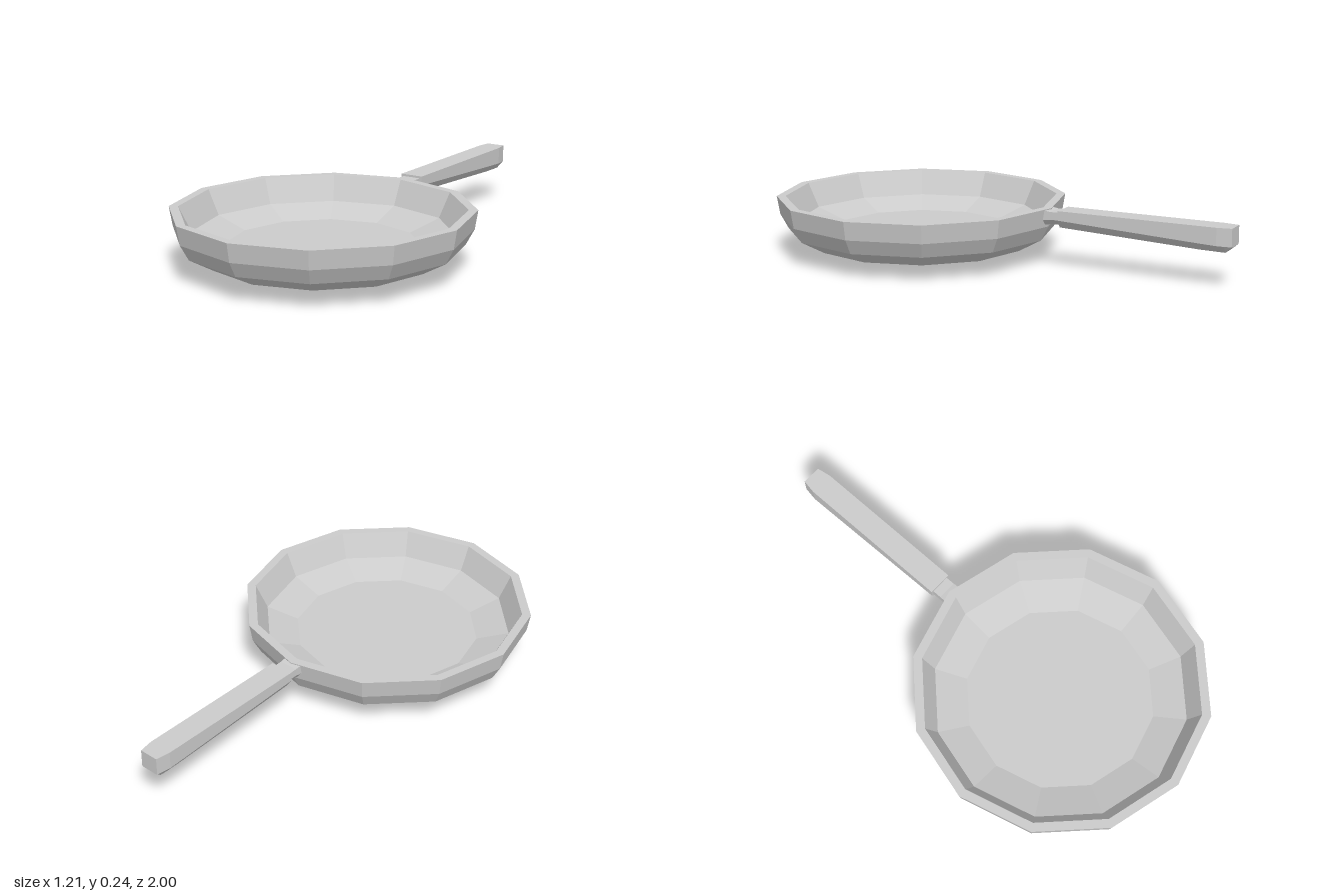
import * as THREE from 'three';

const material = new THREE.MeshStandardMaterial({ color: 0xcccccc, flatShading: true });

// Closed solid through six-sided sections running towards -z.
// Each section: [z, half width, top y, side edge y, bottom y, bottom half width]
function loft(sections) {
  const positions = [];
  const index = [];
  for (const [z, w, top, side, bottom, bw] of sections) {
    positions.push(-bw, bottom, z, bw, bottom, z, w, side, z, w, top, z, -w, top, z, -w, side, z);
  }
  const n = 6;
  const last = (sections.length - 1) * n;
  for (let s = 0; s < last; s += n) {
    for (let i = 0; i < n; i++) {
      const j = (i + 1) % n;
      index.push(s + i, s + n + i, s + n + j, s + i, s + n + j, s + j);
    }
  }
  for (let i = 1; i < n - 1; i++) {
    index.push(0, i, i + 1, last, last + i + 1, last + i);
  }
  const geometry = new THREE.BufferGeometry();
  geometry.setAttribute('position', new THREE.Float32BufferAttribute(positions, 3));
  geometry.setIndex(index);
  geometry.computeVertexNormals();
  return geometry;
}

function addPart(group, name, geometry) {
  const mesh = new THREE.Mesh(geometry, material);
  mesh.name = name;
  group.add(mesh);
  return mesh;
}

export function createModel() {
  const model = new THREE.Group();
  model.name = 'fryingPan';

  // Twelve-sided pan: outside from the base up, over the rim, down to the floor
  const profile = [
    [0, 0], [0.25, 0.018], [0.46, 0.048], [0.56, 0.103], [0.594, 0.165], [0.607, 0.242],
    [0.57, 0.242], [0.52, 0.14], [0.387, 0.095], [0, 0.095],
  ].map(([r, y]) => new THREE.Vector2(r, y));
  addPart(model, 'pan', new THREE.LatheGeometry(profile, 12)).position.z = 0.39;

  // Short neck joining the pan wall to the grip
  addPart(model, 'handleNeck', loft([
    [-0.195, 0.042, 0.24, 0.2, 0.176, 0.024],
    [-0.23, 0.04, 0.235, 0.203, 0.182, 0.022],
    [-0.275, 0.04, 0.235, 0.203, 0.182, 0.022],
  ]));

  // Grip, deeper towards the end, with a chamfered tip
  addPart(model, 'handleGrip', loft([
    [-0.268, 0.05, 0.244, 0.205, 0.173, 0.028],
    [-0.87, 0.05, 0.244, 0.175, 0.146, 0.028],
    [-0.94, 0.05, 0.244, 0.172, 0.145, 0.028],
    [-0.97, 0.045, 0.244, 0.171, 0.144, 0.026],
    [-1, 0.04, 0.244, 0.171, 0.169, 0.036],
  ]));

  return model;
}
